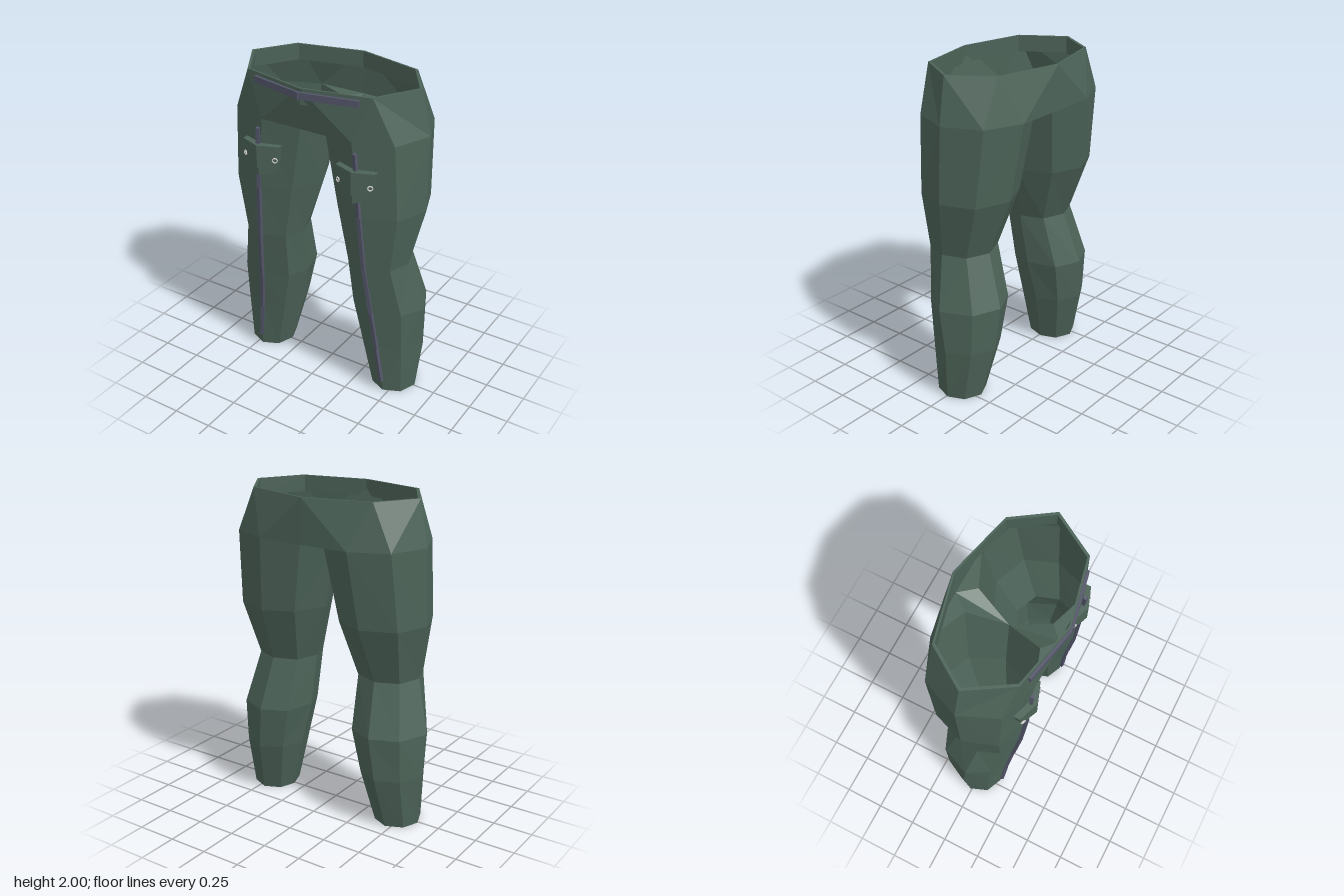
import * as THREE from 'three';

const mat = (color) => new THREE.MeshStandardMaterial({ color, flatShading: true, side: THREE.DoubleSide });
const cloth = mat(0x4c6358);
const trim = mat(0x54566a);
const metal = mat(0xcccccc);

function mesh(name, geometry, material) {
  const m = new THREE.Mesh(geometry, material);
  m.name = name;
  return m;
}

// Triangle collector for faceted surfaces
function soup() {
  const pos = [];
  const tri = (...pts) => pts.forEach((p) => pos.push(...p));
  return {
    tri,
    // wall between two closed rings, a above b
    band(a, b) {
      a.forEach((p, i) => {
        const j = (i + 1) % a.length;
        tri(p, a[j], b[j]);
        tri(p, b[j], b[i]);
      });
    },
    geometry() {
      const g = new THREE.BufferGeometry();
      g.setAttribute('position', new THREE.Float32BufferAttribute(pos, 3));
      g.computeVertexNormals();
      return g;
    },
  };
}

// Leg sections: y, then x of outer, front-outer, front, front-inner, inner,
// then z of front, front-outer, middle, back-outer, back
const SECTIONS = [
  [1.73, 0.625, 0.53, 0.30, 0.08, 0.0, 0.285, 0.21, -0.02, -0.25, -0.345],
  [1.27, 0.63, 0.555, 0.345, 0.16, 0.07, 0.265, 0.20, -0.005, -0.205, -0.285],
  [0.92, 0.56, 0.51, 0.37, 0.225, 0.175, 0.24, 0.185, 0.05, -0.095, -0.15],
  [0.60, 0.65, 0.57, 0.40, 0.24, 0.19, 0.20, 0.14, 0.0, -0.185, -0.255],
  [0.33, 0.642, 0.572, 0.43, 0.295, 0.245, 0.17, 0.12, -0.03, -0.17, -0.235],
  [0.0, 0.61, 0.568, 0.465, 0.365, 0.327, 0.145, 0.10, -0.01, -0.11, -0.155],
];

function ring([y, xo, xfo, xf, xfi, xi, zf, zfo, zm, zbo, zb]) {
  return [
    [xo, y, zm], [xfo, y, zfo], [xf, y, zf], [xfi, y, zfo],
    [xi, y, zm], [xfi, y, zbo], [xf, y, zb], [xfo, y, zbo],
  ];
}

const shrink = (pts, s, cx, cz, y) => pts.map((p) => [cx + (p[0] - cx) * s, y, cz + (p[2] - cz) * s]);

const rings = SECTIONS.map(ring);
rings[0][4][1] = 1.63; // crotch point

function legGeometry() {
  const s = soup();
  for (let i = 0; i < rings.length - 1; i++) s.band(rings[i], rings[i + 1]);
  // turned-in hem
  const hem = rings[rings.length - 1];
  const lip = shrink(hem, 0.87, 0.467, 0, 0);
  s.band(hem, lip);
  s.band(lip, shrink(hem, 0.88, 0.467, 0, 0.1));
  return s.geometry();
}

// Half of the hips, from the waist rim down to the leg top
function hipGeometry() {
  const s = soup();
  const [O, FO, F, FI, I, BI, B, BO] = rings[0];
  const rim = [[0, 2, 0.34], [0.41, 2, 0.25], [0.57, 2, -0.01], [0.41, 2, -0.25], [0, 2, -0.35]];
  const [A0, A1, A2, A3, A4] = rim;
  const cf = [0, 1.73, 0.285], cb = [0, 1.73, -0.35];
  s.tri(A0, cf, F);
  s.tri(A0, F, A1);
  s.tri(A1, F, FO);
  s.tri(A1, FO, O);
  s.tri(A1, O, A2);
  s.tri(A2, O, BO);
  s.tri(A2, BO, A3);
  s.tri(A3, BO, B);
  s.tri(A3, B, A4);
  s.tri(A4, B, cb);
  // crotch gusset, front and back
  s.tri(cf, FI, F);
  s.tri(cf, I, FI);
  s.tri(cb, B, BI);
  s.tri(cb, BI, I);
  // waist lip folded inward
  const lip = shrink(rim, 0.965, 0, 0, 2);
  const low = shrink(rim, 0.97, 0, 0, 1.9);
  for (let i = 0; i < 4; i++) {
    s.tri(rim[i], rim[i + 1], lip[i + 1]);
    s.tri(rim[i], lip[i + 1], lip[i]);
    s.tri(lip[i], lip[i + 1], low[i + 1]);
    s.tri(lip[i], low[i + 1], low[i]);
  }
  return s.geometry();
}

// Box running from a to b; its long side lies on the given axis
function bar(name, a, b, axis, width, depth) {
  const from = new THREE.Vector3(...a), to = new THREE.Vector3(...b);
  const dir = to.clone().sub(from);
  const len = dir.length();
  const g = axis === 'x' ? new THREE.BoxGeometry(len, width, depth) : new THREE.BoxGeometry(width, len, depth);
  const m = mesh(name, g, trim);
  const unit = axis === 'x' ? new THREE.Vector3(1, 0, 0) : new THREE.Vector3(0, 1, 0);
  m.quaternion.setFromUnitVectors(unit, dir.normalize());
  m.position.copy(from.add(to).multiplyScalar(0.5));
  return m;
}

// Plate with a ridge down its middle, falling away to both sides
function foldedPlate(name, half, depth, z) {
  const group = new THREE.Group();
  group.name = name;
  const shape = new THREE.Shape(half.map(([x, y]) => new THREE.Vector2(x, y)));
  const g = new THREE.ExtrudeGeometry(shape, { depth, bevelEnabled: false });
  const p = g.attributes.position;
  for (let i = 0; i < p.count; i++) p.setZ(i, p.getZ(i) + z - 0.36 * p.getX(i));
  g.computeVertexNormals();
  for (const sx of [1, -1]) {
    const m = mesh(name + 'Half', g, cloth);
    m.scale.x = sx;
    group.add(m);
  }
  return group;
}

function pocket() {
  const group = new THREE.Group();
  group.name = 'pocket';
  group.add(foldedPlate('pocketBody', [[0, -0.10], [0.085, -0.08], [0.11, 0.02], [0.11, 0.08], [0, 0.08]], 0.055, -0.03));
  group.add(foldedPlate('pocketFlap', [[0, -0.045], [0.105, -0.01], [0.125, 0.1], [0, 0.1]], 0.05, -0.01));
  for (const sx of [1, -1]) {
    const ringMesh = mesh('pocketRing', new THREE.TorusGeometry(0.014, 0.004, 5, 10), metal);
    ringMesh.position.set(sx * 0.105, 0.015, 0.006);
    ringMesh.rotation.y = sx * 0.5;
    group.add(ringMesh);
  }
  group.position.set(0.32, 1.47, 0.28);
  return group;
}

function side(name, sx) {
  const half = new THREE.Group();
  half.name = name;
  half.scale.x = sx;
  half.add(mesh('leg', legGeometry(), cloth), mesh('hip', hipGeometry(), cloth), pocket());
  // piping down the front of the leg
  const path = [[0.325, 1.67, 0.29], [0.347, 1.27, 0.273], [0.37, 0.92, 0.248], [0.40, 0.6, 0.208], [0.43, 0.33, 0.178], [0.46, 0.08, 0.158]];
  for (let i = 0; i < path.length - 1; i++) half.add(bar('piping', path[i], path[i + 1], 'y', 0.02, 0.022));
  // half of the waist strip
  half.add(bar('waistStrip', [0, 1.96, 0.343], [0.34, 1.96, 0.272], 'x', 0.04, 0.022));
  return half;
}

export function createModel() {
  const model = new THREE.Group();
  model.name = 'trousers';
  model.add(side('leftHalf', 1), side('rightHalf', -1));
  return model;
}
